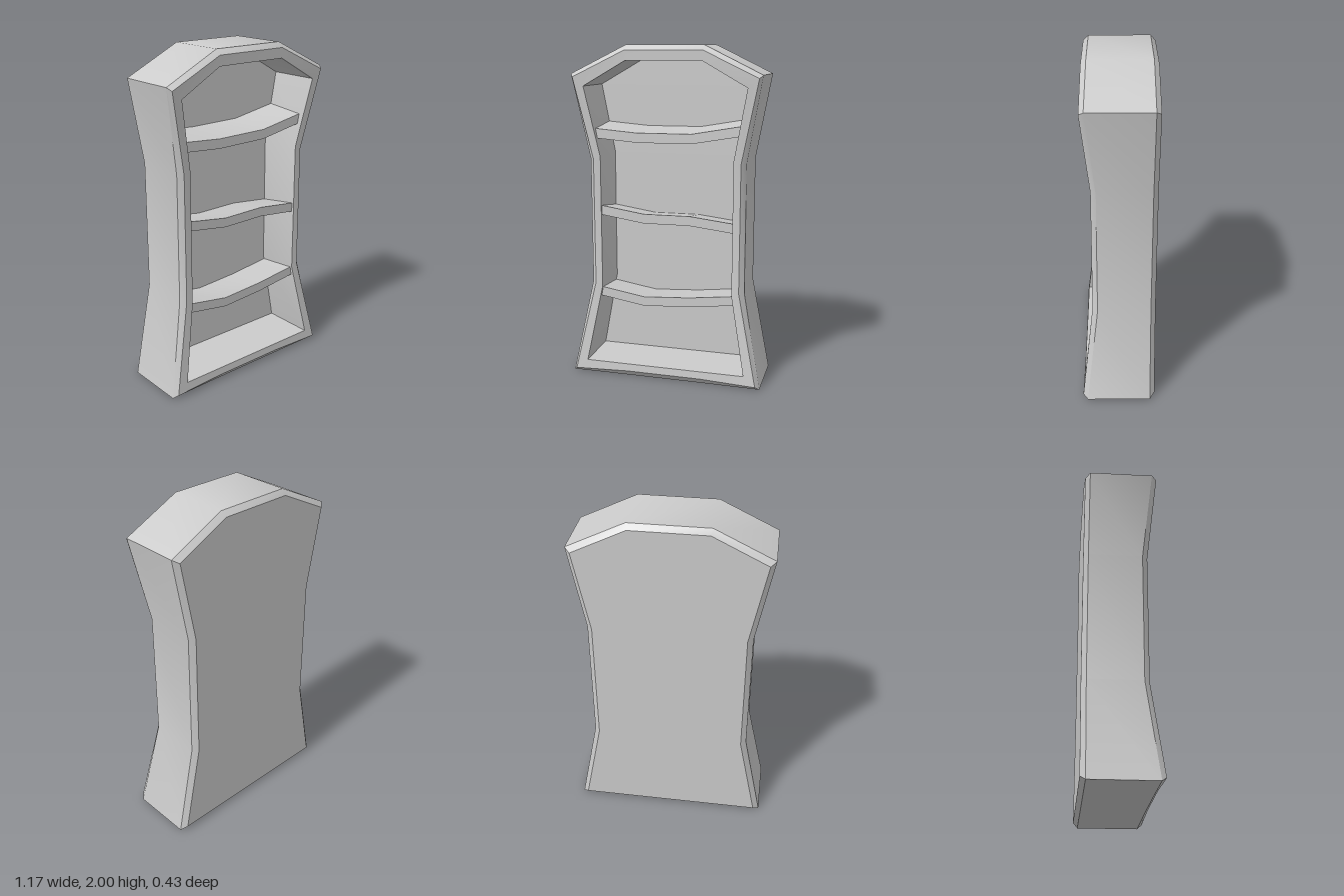
import * as THREE from 'three';
import { toCreasedNormals } from 'three/addons/utils/BufferGeometryUtils.js';

const material = new THREE.MeshStandardMaterial({ color: 0xcccccc });

// Quads [a, b, c, d] between successive closed rings of equal length
function loft(rings) {
  const quads = [];
  for (let r = 0; r + 1 < rings.length; r++) {
    const p = rings[r], q = rings[r + 1], n = p.length;
    for (let i = 0; i < n; i++) {
      const j = (i + 1) % n;
      quads.push([p[i], p[j], q[j], q[i]]);
    }
  }
  return quads;
}

// Fills a left/right symmetric ring with horizontal strips
function cap(ring, facingFront) {
  const quads = [], n = ring.length;
  for (let i = 1; i < n / 2 - 1; i++) {
    const quad = [ring[n - 1 - i], ring[i], ring[i + 1], ring[n - 2 - i]];
    quads.push(facingFront ? quad : quad.reverse());
  }
  return quads;
}

function quadMesh(name, quads) {
  const positions = quads.flatMap(([a, b, c, d]) => [a, b, c, a, c, d].flat());
  const geometry = new THREE.BufferGeometry();
  geometry.setAttribute('position', new THREE.Float32BufferAttribute(positions, 3));
  const mesh = new THREE.Mesh(toCreasedNormals(geometry, 0.55), material);
  mesh.name = name;
  return mesh;
}

// Right half of an outline, bottom to crown, mirrored into a full ring;
// z is one depth or a list with one depth per point
function outline(half, z) {
  const right = half.map(([x, y], i) => [x, y, Array.isArray(z) ? z[i] : z]);
  const left = right.map(([x, y, d]) => [-x, y, d]).reverse();
  return [...right, ...left];
}

// A bent plank: front top edge given as [x, y] points, tilted by backRise
function shelf(name, edge, backRise) {
  const front = 0.14, back = -0.13, thick = 0.057;
  const sections = edge.map(([x, y]) => [
    [x, y + backRise, back],
    [x, y, front],
    [x, y - thick, front],
    [x, y - thick + backRise, back],
  ]);
  return quadMesh(name, loft(sections));
}

export function createModel() {
  const group = new THREE.Group();
  group.name = 'bookshelf';

  // Outlines: bottom middle, foot, lower waist, upper waist, shoulder, crown
  const outer = [[0.23, 0], [0.585, 0], [0.473, 0.57], [0.473, 1.335], [0.565, 1.835], [0.227, 2]];
  const face = [[0.23, 0.035], [0.562, 0.022], [0.445, 0.57], [0.445, 1.335], [0.547, 1.817], [0.227, 1.97]];
  const rear = [[0.23, 0.025], [0.55, 0.025], [0.442, 0.57], [0.442, 1.335], [0.533, 1.815], [0.22, 1.97]];
  const opening = [[0.23, 0.08], [0.49, 0.08], [0.402, 0.55], [0.402, 1.35], [0.483, 1.765], [0.227, 1.91]];

  // Cabinet shell: bevelled back, sides, bevelled front frame, recess
  const backRing = outline(rear, -0.213);
  const panelRing = outline(opening, -0.115);
  const shell = [
    backRing,
    outline(outer, -0.185),
    outline(outer, [0.185, 0.188, 0.125, 0.125, 0.178, 0.172]),
    outline(face, [0.212, 0.215, 0.155, 0.155, 0.205, 0.202]),
    outline(opening, [0.208, 0.208, 0.155, 0.155, 0.2, 0.2]),
    panelRing,
  ];
  group.add(quadMesh('cabinet', [...cap(backRing, false), ...loft(shell), ...cap(panelRing, true)]));

  // Sagging shelves
  group.add(
    shelf('upperShelf', [[-0.45, 1.517], [-0.18, 1.495], [0.15, 1.497], [0.45, 1.55]], 0.022),
    shelf('middleShelf', [[-0.425, 1.056], [-0.14, 1.013], [0.14, 1.015], [0.425, 0.982]], -0.043),
    shelf('lowerShelf', [[-0.43, 0.545], [-0.14, 0.498], [0.14, 0.515], [0.43, 0.549]], -0.03),
  );
  return group;
}
